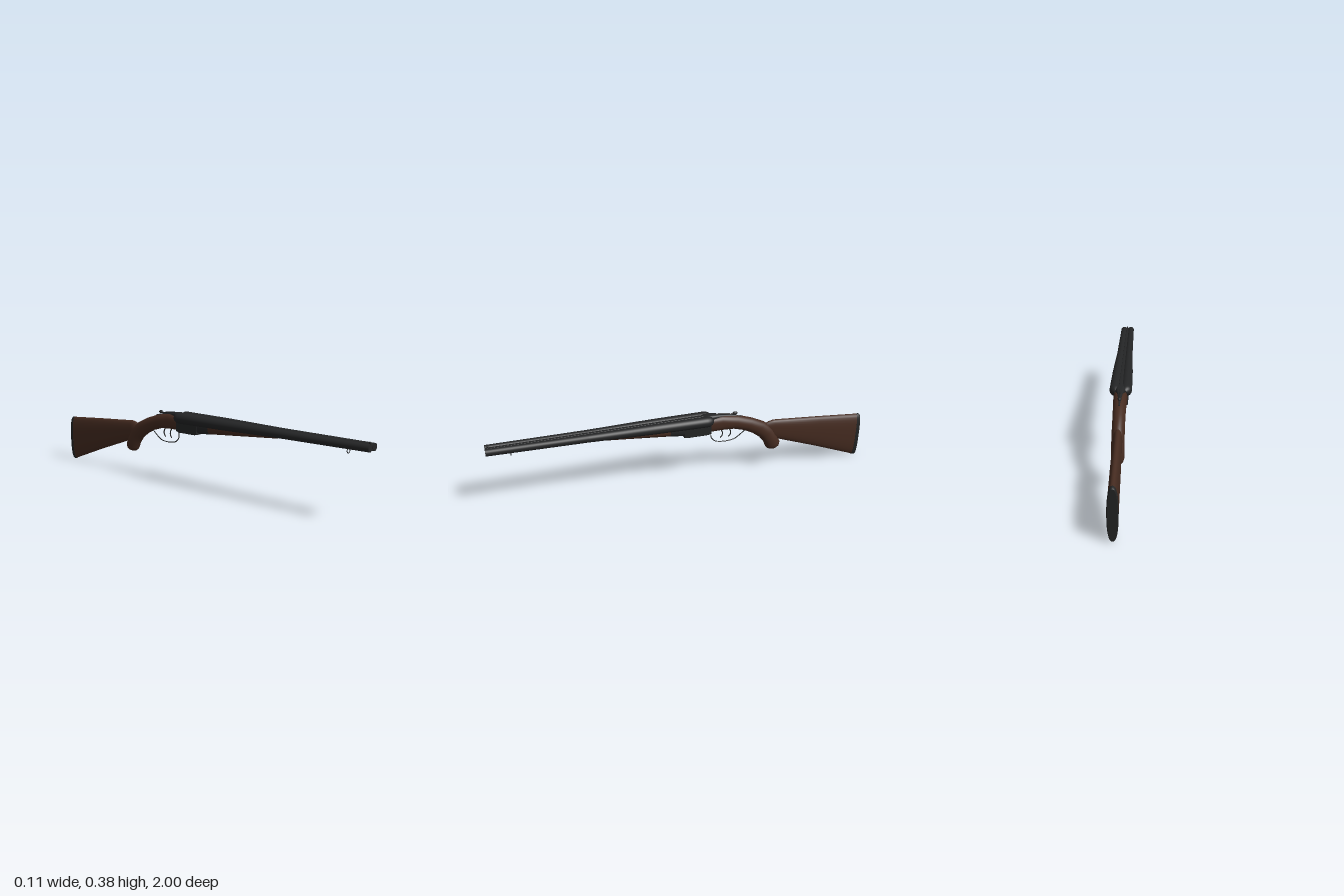
import * as THREE from 'three';

const wood = new THREE.MeshStandardMaterial({ name: 'walnut', color: 0x452b20 });
const metal = new THREE.MeshStandardMaterial({ name: 'blued steel', color: 0x242526 });
const rubber = new THREE.MeshStandardMaterial({ name: 'butt rubber', color: 0x222323 });

// Closed skin through superelliptic sections, listed from front (+z) to back.
// Section: [topZ, topY, bottomZ, bottomY, halfWidth, centreX, power]
function loft(sections, n = 32) {
  const pos = [], idx = [];
  const ring = ([zt, yt, zb, yb, w, cx = 0, p = 2]) => {
    for (let i = 0; i < n; i++) {
      const a = (i / n) * Math.PI * 2;
      const c = Math.cos(a), s = Math.sin(a);
      const u = Math.sign(c) * Math.abs(c) ** (2 / p);
      const t = (1 + Math.sign(s) * Math.abs(s) ** (2 / p)) / 2;
      pos.push(cx + w * u, yb + (yt - yb) * t, zb + (zt - zb) * t);
    }
  };
  sections.forEach(ring);
  for (let k = 0; k < sections.length - 1; k++) {
    for (let i = 0; i < n; i++) {
      const a = k * n + i, b = k * n + ((i + 1) % n);
      idx.push(a, a + n, b, b, a + n, b + n);
    }
  }
  // flat end caps with their own vertices
  [sections[0], sections[sections.length - 1]].forEach((s, end) => {
    const base = pos.length / 3;
    ring(s);
    for (let i = 1; i < n - 1; i++) {
      if (end) idx.push(base, base + i + 1, base + i);
      else idx.push(base, base + i, base + i + 1);
    }
  });
  const g = new THREE.BufferGeometry();
  g.setAttribute('position', new THREE.Float32BufferAttribute(pos, 3));
  g.setIndex(idx);
  g.computeVertexNormals();
  return g;
}

// Side outline in (z, y), extruded across x
function plate(points, width) {
  const shape = new THREE.Shape(points.map(([z, y]) => new THREE.Vector2(z, y)));
  const bevel = 0.003;
  const g = new THREE.ExtrudeGeometry(shape, {
    depth: width - 2 * bevel, bevelThickness: bevel, bevelSize: bevel, bevelOffset: -bevel, bevelSegments: 1,
  });
  return g.translate(0, 0, -(width / 2 - bevel)).rotateY(-Math.PI / 2);
}

// Bent rod along (z, y) points on the centre plane
function rod(points, radius) {
  const curve = new THREE.CatmullRomCurve3(points.map(([z, y]) => new THREE.Vector3(0, y, z)));
  return new THREE.TubeGeometry(curve, 40, radius, 8);
}

export function createModel() {
  const model = new THREE.Group();
  model.name = 'doubleBarrelShotgun';
  const add = (name, geometry, material) => {
    const m = new THREE.Mesh(geometry, material);
    m.name = name;
    model.add(m);
    return m;
  };

  // tapering barrels that converge towards the muzzle, rounded at the breech
  const barrelY = 0.356;
  const profile = [[1, 0.018, 0.0205], [0.5, 0.0205, 0.023], [0.17, 0.0265, 0.0265],
    [-0.11, 0.028, 0.0285], [-0.127, 0.0265, 0.028], [-0.142, 0.02, 0.025], [-0.15, 0.01, 0.022]];
  for (const [side, name] of [[1, 'leftBarrel'], [-1, 'rightBarrel']]) {
    add(name, loft(profile.map(([z, r, x]) => [z, barrelY + r, z, barrelY - r, r, side * x])), metal);
  }

  // ribs joining the barrels, above and below
  add('topRib', loft([[0.999, 0.369, 0.999, 0.361, 0.007, 0, 6], [0.17, 0.377, 0.17, 0.361, 0.008, 0, 6],
    [-0.12, 0.38, -0.12, 0.361, 0.01, 0, 6]]), metal);
  add('bottomRib', loft([[0.999, 0.35, 0.999, 0.342, 0.006, 0, 6], [-0.1, 0.35, -0.1, 0.335, 0.01, 0, 6]]), metal);

  // front sight bead
  add('frontSight', new THREE.SphereGeometry(0.004, 12, 8).translate(0, 0.378, 0.985), metal);
  add('frontSightPost', new THREE.BoxGeometry(0.004, 0.012, 0.008).translate(0, 0.371, 0.985), metal);

  // sling loop under the barrels
  add('slingLoop', new THREE.TorusGeometry(0.012, 0.002, 8, 24).translate(0, 0.326, 0.88), metal);
  add('slingStud', new THREE.BoxGeometry(0.006, 0.012, 0.008).translate(0, 0.342, 0.88), metal);

  // wooden forend and its iron
  add('forend', loft([[0.505, 0.346, 0.505, 0.334, 0.012], [0.49, 0.35, 0.49, 0.327, 0.018],
    [0.3, 0.352, 0.3, 0.311, 0.026], [0.08, 0.355, 0.08, 0.293, 0.034, 0, 2.4]]), wood);
  add('forendIron', loft([[0.081, 0.356, 0.081, 0.292, 0.0345, 0, 2.4],
    [0.0, 0.356, 0.0, 0.286, 0.036, 0, 3]]), metal);

  // receiver body and sloping top tang
  add('receiver', plate([[0.01, 0.35], [0.01, 0.284], [-0.01, 0.28], [-0.12, 0.28],
    [-0.137, 0.287], [-0.137, 0.362], [-0.12, 0.372], [-0.06, 0.372]], 0.072), metal);
  add('breechTop', loft([[-0.1, 0.381, -0.1, 0.35, 0.022, 0, 4], [-0.15, 0.381, -0.15, 0.345, 0.024, 0, 3],
    [-0.2, 0.374, -0.2, 0.345, 0.014, 0, 3], [-0.25, 0.365, -0.25, 0.345, 0.008], [-0.31, 0.35, -0.31, 0.335, 0.005]]), metal);

  // opening lever with a raised thumb piece
  add('topLever', rod([[-0.17, 0.378], [-0.22, 0.373], [-0.255, 0.366], [-0.272, 0.368]], 0.004), metal);
  const thumb = add('thumbPiece', new THREE.SphereGeometry(1, 16, 10), metal);
  thumb.scale.set(0.009, 0.008, 0.014);
  thumb.position.set(0, 0.369, -0.274);

  // wrist curving down into the pistol grip
  add('pistolGrip', loft([
    [-0.132, 0.365, -0.132, 0.286, 0.034, 0, 2.8], [-0.2, 0.369, -0.2, 0.286, 0.034, 0, 2.5],
    [-0.29, 0.353, -0.265, 0.281, 0.032], [-0.37, 0.326, -0.325, 0.263, 0.031],
    [-0.44, 0.293, -0.375, 0.237, 0.031], [-0.49, 0.25, -0.415, 0.206, 0.031],
    [-0.517, 0.2, -0.441, 0.172, 0.032], [-0.533, 0.163, -0.452, 0.145, 0.031],
    [-0.53, 0.143, -0.46, 0.133, 0.026], [-0.518, 0.131, -0.472, 0.126, 0.018],
    [-0.5, 0.126, -0.488, 0.124, 0.005]]), wood);

  // shoulder stock and butt pad
  add('stock', loft([[-0.445, 0.278, -0.445, 0.235, 0.01], [-0.465, 0.29, -0.465, 0.21, 0.018],
    [-0.495, 0.295, -0.495, 0.188, 0.022, 0, 2.4], [-0.75, 0.276, -0.74, 0.099, 0.0235, 0, 2.4],
    [-0.981, 0.257, -0.974, 0.008, 0.0245, 0, 2.4]]), wood);
  add('buttPad', loft([[-0.98, 0.258, -0.973, 0.006, 0.0255, 0, 2.4], [-0.994, 0.257, -0.99, 0.003, 0.0255, 0, 2.4],
    [-1, 0.251, -0.996, 0.008, 0.022, 0, 2.4]]), rubber);

  // trigger guard and two triggers
  add('triggerGuard', rod([[-0.145, 0.288], [-0.146, 0.245], [-0.168, 0.22], [-0.22, 0.21],
    [-0.275, 0.217], [-0.305, 0.237], [-0.335, 0.262]], 0.0026), metal);
  [-0.195, -0.24].forEach((z, i) => {
    add(i ? 'rearTrigger' : 'frontTrigger', rod([[z, 0.29], [z - 0.012, 0.268],
      [z - 0.012, 0.25], [z - 0.002, 0.235]], 0.003), metal);
  });

  return model;
}
